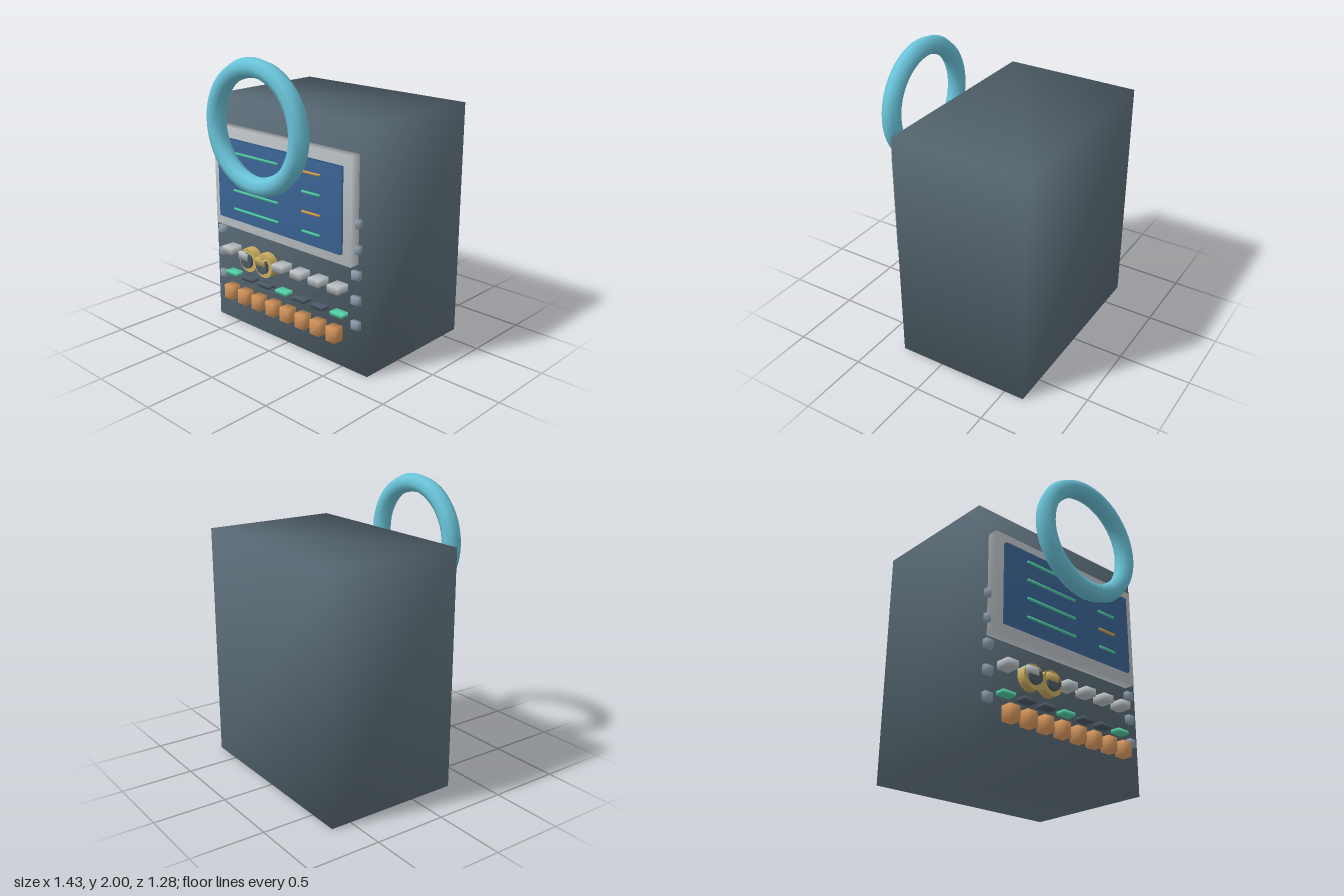
import * as THREE from 'three';
import { mergeVertices } from 'three/addons/utils/BufferGeometryUtils.js';

const paint = (name, color) => {
  const m = new THREE.MeshStandardMaterial({ color });
  m.name = name;
  return m;
};

export function createModel() {
  const slate = paint('slate', 0x5b6c77);
  const darkSlate = paint('dark slate', 0x4c5966);
  const silver = paint('silver', 0xbcc2c6);
  const blue = paint('screen blue', 0x3b6596);
  const green = paint('signal green', 0x52d0a6);
  const amber = paint('amber', 0xd6a04e);
  const orange = paint('key orange', 0xd8985e);
  const gold = paint('gold', 0xcbad62);
  const steel = paint('steel', 0x8f9fb0);
  const cyan = paint('cyan', 0x6ac4da);

  const model = new THREE.Group();
  model.name = 'console';

  const group = (name) => {
    const g = new THREE.Group();
    g.name = name;
    model.add(g);
    return g;
  };
  const add = (parent, name, geometry, material, x, y, z) => {
    const mesh = new THREE.Mesh(geometry, material);
    mesh.name = name;
    mesh.position.set(x, y, z);
    parent.add(mesh);
    return mesh;
  };
  // Box whose corners share one smooth normal; z0 and z1 are its back and front
  const box = (parent, name, material, x, y, w, h, z0, z1) => {
    let g = new THREE.BoxGeometry(w, h, z1 - z0);
    g.deleteAttribute('normal');
    g.deleteAttribute('uv');
    g = mergeVertices(g);
    g.computeVertexNormals();
    return add(parent, name, g, material, x, y, (z0 + z1) / 2);
  };

  // Cabinet and display
  box(model, 'cabinet', slate, 0, 0.8225, 1.43, 1.645, -0.64, 0.315);
  box(model, 'screenBezel', silver, 0, 1.105, 1.26, 0.71, 0.315, 0.39);
  box(model, 'screen', blue, 0, 1.105, 1.13, 0.565, 0.385, 0.415);

  // Readout lines floating just in front of the screen
  const readout = group('readout');
  [1.305, 1.175, 1.043, 0.912].forEach((y, i) => {
    box(readout, 'longLine', green, -0.183, y, 0.425, 0.013, 0.422, 0.435);
    box(readout, 'shortLine', i % 2 ? green : amber, 0.328, y, 0.15, 0.013, 0.424, 0.437);
  });

  // Bolts down both sides
  const bolts = group('bolts');
  for (const side of [-1, 1]) {
    for (let i = 0; i < 5; i++) {
      box(bolts, 'bolt', steel, side * 0.632, 0.345 + i * 0.17, 0.06, 0.055, 0.318, 0.353);
    }
  }

  // Row of switches with a row of lamps below
  const controls = group('controls');
  for (let i = 0; i < 7; i++) {
    const x = (i - 3) * 0.168;
    box(controls, 'switch', i === 2 ? gold : silver, x, 0.573, 0.09, 0.05, 0.32, 0.42);
    box(controls, 'lamp', i % 3 ? darkSlate : green, x, 0.39, 0.1, 0.025, 0.32, 0.388);
  }

  // Two gold dials with dark hubs
  const dials = group('dials');
  for (const x of [-0.31, -0.155]) {
    const rim = add(dials, 'dialRim', new THREE.CylinderGeometry(0.085, 0.085, 0.06, 24), gold, x, 0.545, 0.365);
    const hub = add(dials, 'dialHub', new THREE.CylinderGeometry(0.054, 0.054, 0.05, 24), darkSlate, x, 0.545, 0.39);
    rim.rotation.x = hub.rotation.x = Math.PI / 2;
  }

  // Keys
  const keys = group('keys');
  for (let i = 0; i < 8; i++) {
    box(keys, 'key', orange, (i - 3.5) * 0.1408, 0.26, 0.08, 0.1, 0.35, 0.425);
  }

  // Large ring hovering in front
  add(model, 'ring', new THREE.TorusGeometry(0.376, 0.064, 8, 48), cyan, 0, 1.56, 0.576);

  return model;
}
